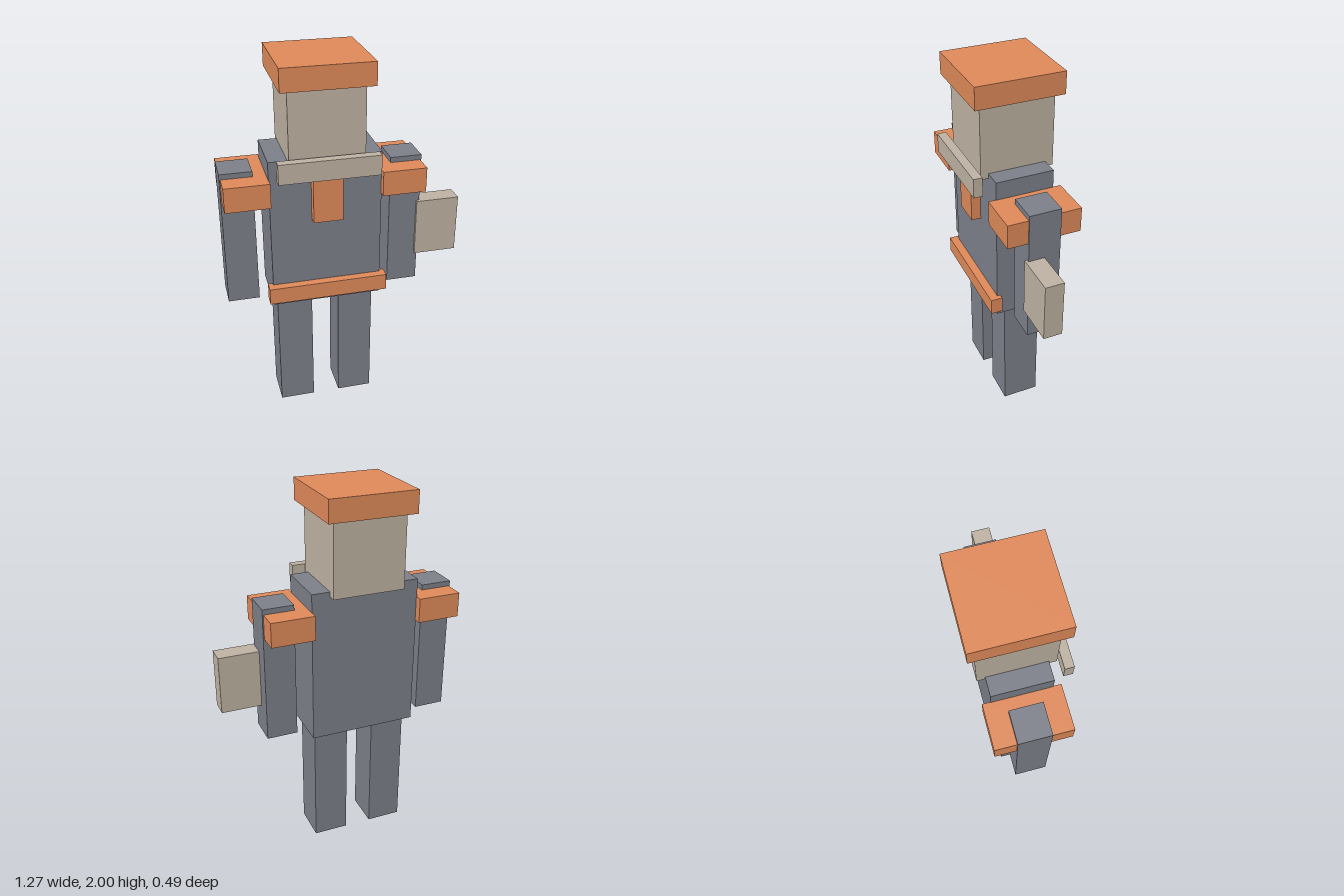
import * as THREE from 'three';

const paint = (color) => new THREE.MeshStandardMaterial({ color, flatShading: true });

export function createModel() {
  const model = new THREE.Group();
  model.name = 'blockFigure';

  const cloth = paint(0x7d808a);
  const orange = paint(0xe08a5a);
  const tan = paint(0xbfb3a3);
  const midX = -0.11; // the body's centre line; the held block shifts it off x = 0

  // Box from its extents: [min, max] on each axis
  function block(name, material, [x0, x1], [y0, y1], [z0, z1]) {
    const mesh = new THREE.Mesh(new THREE.BoxGeometry(x1 - x0, y1 - y0, z1 - z0), material);
    mesh.position.set((x0 + x1) / 2, (y0 + y1) / 2, (z0 + z1) / 2);
    mesh.name = name;
    model.add(mesh);
  }

  // Box centred on the body's centre line
  const centred = (name, material, width, y, z) =>
    block(name, material, [midX - width / 2, midX + width / 2], y, z);

  // Torso, head and hat
  centred('torso', cloth, 0.582, [0.693, 1.517], [-0.167, 0.142]);
  centred('head', tan, 0.387, [1.49, 1.885], [-0.209, 0.182]);
  centred('hat', orange, 0.466, [1.883, 2], [-0.246, 0.219]);

  // Front trim
  centred('collar', tan, 0.517, [1.438, 1.543], [0.198, 0.246]);
  centred('tie', orange, 0.154, [1.185, 1.447], [0.135, 0.193]);
  centred('belt', orange, 0.634, [0.728, 0.818], [0.124, 0.187]);

  // Limbs and shoulder pads, mirrored about the centre line
  for (const [side, s] of [['left', 1], ['right', -1]]) {
    const span = (inner, outer) => [midX + s * inner, midX + s * outer].sort((a, b) => a - b);
    block(side + 'Leg', cloth, span(0.074, 0.264), [0, 0.694], [-0.114, 0.088]);
    block(side + 'Arm', cloth, span(0.358, 0.525), [0.707, 1.448], [-0.098, 0.072]);
    block(side + 'ShoulderPad', orange, span(0.288, 0.519), [1.288, 1.42], [-0.209, 0.182]);
  }

  // Block held at the left arm
  block('heldBlock', tan, [0.398, 0.632], [0.868, 1.185], [-0.014, 0.087]);

  return model;
}
